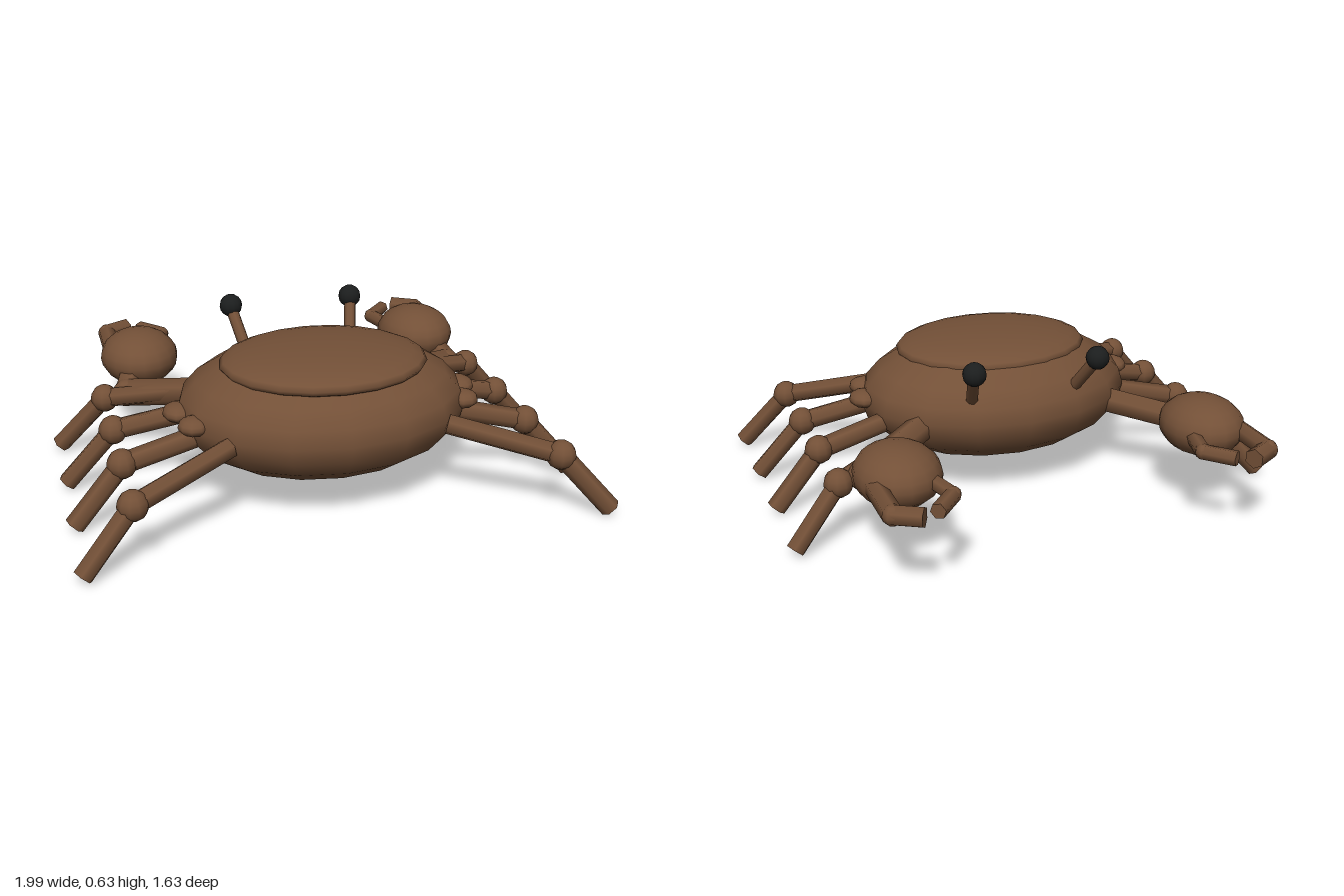
import * as THREE from 'three';

const shellMat = new THREE.MeshStandardMaterial({ color: 0x735037 });
const eyeMat = new THREE.MeshStandardMaterial({ color: 0x1c1e1e });

// Ellipsoid with centre and three radii
function blob(name, center, radii, w = 16, h = 12, mat = shellMat) {
  const mesh = new THREE.Mesh(new THREE.SphereGeometry(1, w, h), mat);
  mesh.name = name;
  mesh.position.set(...center);
  mesh.scale.set(...radii);
  return mesh;
}

// Straight rod between two points
function rod(name, from, to, radius, sides = 6) {
  const a = new THREE.Vector3(...from), b = new THREE.Vector3(...to);
  const dir = b.clone().sub(a);
  const mesh = new THREE.Mesh(new THREE.CylinderGeometry(radius, radius, dir.length(), sides), shellMat);
  mesh.name = name;
  mesh.position.copy(a).add(b).multiplyScalar(0.5);
  mesh.quaternion.setFromUnitVectors(new THREE.Vector3(0, 1, 0), dir.normalize());
  return mesh;
}

// Bent pincer finger: two rods joined by a small ball
function finger(name, points, radius) {
  const g = new THREE.Group();
  g.name = name;
  g.add(
    rod('fingerBase', points[0], points[1], radius),
    blob('fingerJoint', points[1], [radius, radius, radius], 8, 6),
    rod('fingerTip', points[1], points[2], radius)
  );
  return g;
}

// Walking legs: z at hip, knee and foot
const legZ = [
  [-0.04, -0.235, -0.295],
  [0.135, 0.085, 0.065],
  [0.34, 0.388, 0.418],
  [0.52, 0.712, 0.777],
];

// All paired parts; s = 1 for left, -1 for right
function buildSide(s) {
  const side = new THREE.Group();
  side.name = s > 0 ? 'leftSide' : 'rightSide';
  const p = (x, y, z) => [s * x, y, z];

  legZ.forEach(([hip, knee, foot], i) => {
    const leg = new THREE.Group();
    leg.name = 'leg' + (i + 1);
    const k = p(0.78, 0.24, knee);
    leg.add(
      rod('upperLeg', p(0.41, 0.32, hip), k, 0.04),
      blob('knee', k, [0.056, 0.056, 0.056], 10, 8),
      rod('lowerLeg', k, p(0.966, 0.029, foot), 0.038)
    );
    side.add(leg);
  });

  // Claw arm, palm and pincers
  const claw = new THREE.Group();
  claw.name = 'claw';
  const elbow = p(0.69, 0.255, -0.235);
  claw.add(
    rod('upperArm', p(0.38, 0.32, -0.01), elbow, 0.056),
    blob('elbow', elbow, [0.057, 0.057, 0.057], 8, 6),
    rod('forearm', elbow, p(0.63, 0.33, -0.4), 0.054),
    blob('palm', p(0.61, 0.338, -0.43), [0.16, 0.113, 0.185]),
    finger('outerFinger', [p(0.715, 0.338, -0.5), p(0.715, 0.338, -0.735), p(0.622, 0.338, -0.79)], 0.038),
    finger('innerFinger', [p(0.52, 0.338, -0.52), p(0.482, 0.338, -0.665), p(0.568, 0.338, -0.765)], 0.03)
  );
  side.add(claw);

  // Eye on its stalk
  side.add(
    rod('eyeStalk', p(0.216, 0.44, -0.11), p(0.25, 0.58, -0.23), 0.024, 8),
    blob('eye', p(0.25, 0.59, -0.238), [0.046, 0.046, 0.046], 12, 8, eyeMat)
  );

  // Bumps on the flank
  side.add(
    blob('frontBump', p(0.55, 0.36, 0.25), [0.06, 0.035, 0.072], 10, 8),
    blob('rearBump', p(0.515, 0.36, 0.39), [0.06, 0.035, 0.062], 10, 8)
  );
  return side;
}

export function createModel() {
  const crab = new THREE.Group();
  crab.name = 'crab';
  crab.add(
    blob('body', [0, 0.34, 0.24], [0.56, 0.25, 0.437]),
    blob('backPlate', [0, 0.523, 0.27], [0.395, 0.068, 0.325], 20, 12),
    buildSide(1),
    buildSide(-1)
  );
  return crab;
}
